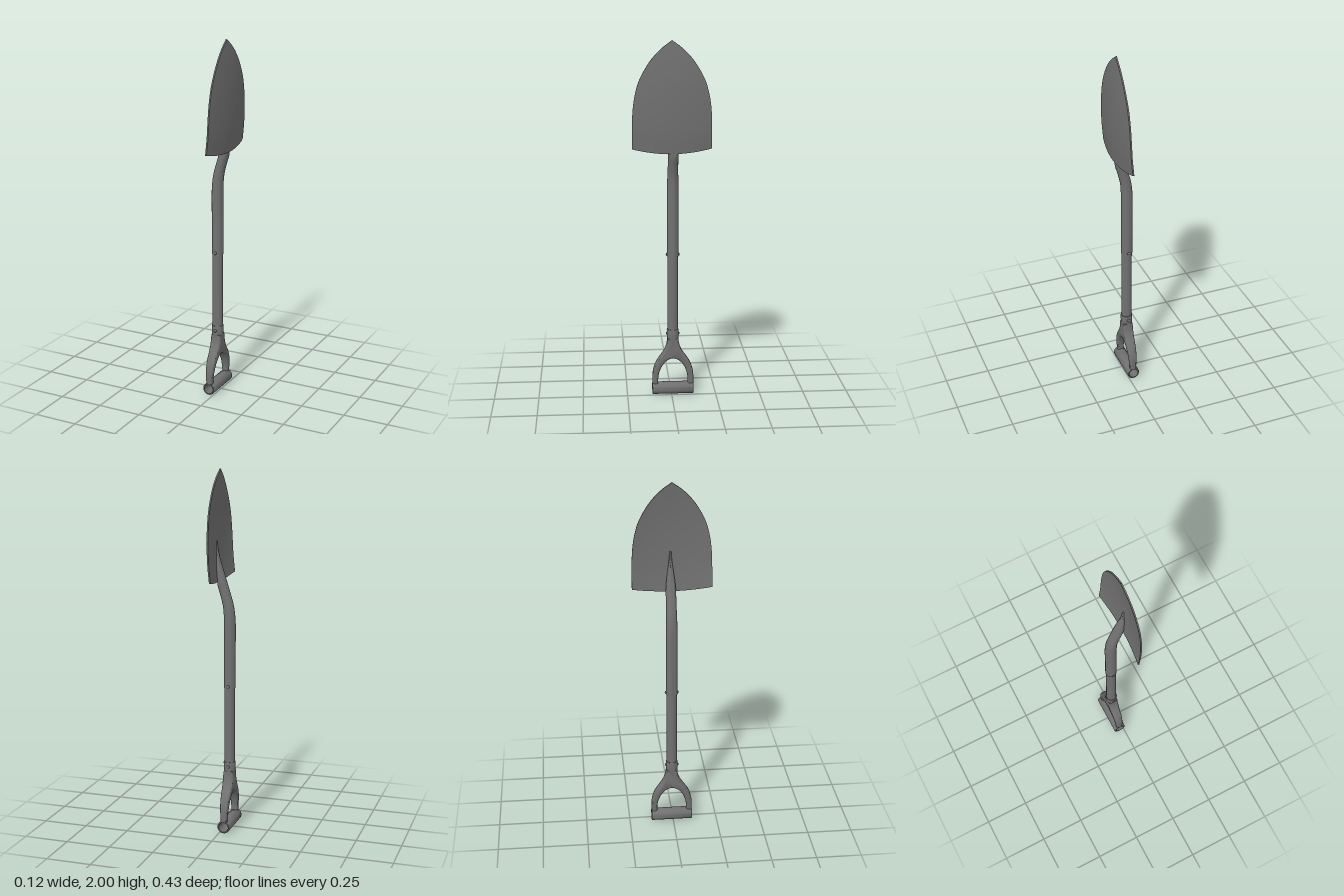
import * as THREE from 'three';
import { toCreasedNormals } from 'three/addons/utils/BufferGeometryUtils.js';

const AX = -0.025, AZ = -0.007; // axis of the shaft

export function createModel() {
  const group = new THREE.Group();
  const material = new THREE.MeshStandardMaterial({ color: 0x717171 });
  const add = (name, geometry, x = 0, y = 0, z = 0) => {
    const mesh = new THREE.Mesh(geometry, material);
    mesh.name = name;
    mesh.position.set(x, y, z);
    group.add(mesh);
    return mesh;
  };
  const lathe = (points) => toCreasedNormals(
    new THREE.LatheGeometry(points.map(([r, y]) => new THREE.Vector2(r, y)), 28), 0.7);

  add('blade', bladeGeometry());
  add('socket', socketGeometry());
  add('socketEnd', new THREE.CircleGeometry(0.032, 28).rotateX(Math.PI / 2), AX, 0.81, AZ);

  // Shaft and the collar where the grip meets it
  add('shaft', new THREE.CylinderGeometry(0.029, 0.029, 0.52, 28), AX, 0.59, AZ);
  add('gripCollar', lathe([
    [0, 0.23], [0.018, 0.24], [0.026, 0.27], [0.03, 0.3], [0.0325, 0.34],
    [0.0335, 0.38], [0.032, 0.386], [0, 0.386],
  ]), AX, 0, AZ);

  // Rivets through the socket and the collar
  for (const y of [0.36, 0.82]) {
    for (const side of [1, -1]) {
      const rivet = add('rivet', new THREE.SphereGeometry(0.009, 14, 10), AX, y, AZ + side * 0.032);
      rivet.scale.z = 0.75;
    }
  }

  add('gripFork', forkGeometry(), AX, 0, -0.008);

  // Hollow crossbar
  add('gripBar', lathe([
    [0.027, -0.116], [0.033, -0.116], [0.035, -0.113], [0.035, 0.113], [0.033, 0.116],
    [0.027, 0.116], [0.027, -0.116],
  ]).rotateX(Math.PI / 2), AX, 0.035, -0.008);
  return group;
}

// Dished sheet: each row is a closed loop, out along the convex face and back along the hollow one
function bladeGeometry() {
  const profile = new THREE.CatmullRomCurve3([ // face x, height, half width
    [0.045, 1.395, 0.216], [0.054, 1.5, 0.215], [0.0575, 1.6, 0.212], [0.0575, 1.69, 0.202],
    [0.055, 1.777, 0.18], [0.051, 1.84, 0.15], [0.046, 1.9, 0.111], [0.04, 1.955, 0.06],
    [0.035, 2, 0.0005],
  ].map((p) => new THREE.Vector3(...p)), false, 'centripetal');
  const rows = 40, cols = 24, thick = 0.008, n = 2 * (cols + 1);
  const position = [], index = [];
  for (let r = 0; r <= rows; r++) {
    const v = r / rows, p = profile.getPoint(v);
    for (let k = 0; k < n; k++) {
      const outer = k <= cols;
      const u = (outer ? k : n - 1 - k) / cols * 2 - 1;
      const z = u * p.z;
      position.push(p.x - 0.46 * z * z - (outer ? 0 : thick), p.y + 0.025 * u * u * (1 - v) ** 3, z);
    }
  }
  for (let r = 0; r < rows; r++) {
    for (let k = 0; k < n; k++) {
      const a = r * n + k, b = r * n + (k + 1) % n;
      index.push(a, a + n, b + n, a, b + n, b);
    }
  }
  // Bottom edge and tip
  const top = rows * n;
  for (let i = 0; i < cols; i++) {
    const a = i, b = i + 1, c = n - 2 - i, d = n - 1 - i;
    index.push(a, b, c, a, c, d);
    index.push(top + a, top + c, top + b, top + a, top + d, top + c);
  }
  const geometry = new THREE.BufferGeometry();
  geometry.setAttribute('position', new THREE.Float32BufferAttribute(position, 3));
  geometry.setIndex(index);
  return toCreasedNormals(geometry, 0.6);
}

// Bent tube that narrows to a point on the hollow face of the blade
function socketGeometry() {
  const path = new THREE.CatmullRomCurve3([
    [AX, 0.81], [AX, 1], [AX, 1.18], [-0.018, 1.26], [0, 1.33], [0.021, 1.4],
    [0.036, 1.47], [0.046, 1.55], [0.049, 1.62],
  ].map(([x, y]) => new THREE.Vector3(x, y, AZ)), false, 'centripetal');
  const segments = 64, sides = 24;
  const geometry = new THREE.TubeGeometry(path, segments, 0.032, sides);
  const pos = geometry.attributes.position, p = new THREE.Vector3();
  const { smoothstep, clamp } = THREE.MathUtils;
  for (let i = 0; i <= segments; i++) {
    const c = path.getPointAt(i / segments);
    const slim = 1 - 0.12 * smoothstep(c.y, 1.15, 1.35);
    const scale = slim * (1 - 0.85 * smoothstep(c.y, 1.38, 1.64));
    for (let j = 0; j <= sides; j++) {
      const k = i * (sides + 1) + j;
      p.fromBufferAttribute(pos, k).sub(c).multiplyScalar(scale).add(c);
      // Flattened against the sheet so it never breaks through the convex face
      const sheet = 0.04 + 0.009 * clamp((p.y - 1.395) / 0.105, 0, 1);
      pos.setXYZ(k, Math.min(p.x, sheet), p.y, p.z);
    }
  }
  geometry.computeVertexNormals();
  return toCreasedNormals(geometry, 0.8);
}

// Forked arms: rounded extrusion that thins toward the crossbar and ends inside its wall
function forkGeometry() {
  const shape = new THREE.Shape();
  shape.moveTo(-0.116, 0.055);
  shape.lineTo(-0.116, 0.1);
  shape.bezierCurveTo(-0.114, 0.23, -0.034, 0.22, -0.031, 0.335);
  shape.lineTo(0.031, 0.335);
  shape.bezierCurveTo(0.034, 0.22, 0.114, 0.23, 0.116, 0.1);
  shape.lineTo(0.116, 0.055);
  shape.lineTo(0.084, 0.055);
  shape.lineTo(0.084, 0.085);
  shape.bezierCurveTo(0.083, 0.15, 0.045, 0.214, 0, 0.214);
  shape.bezierCurveTo(-0.045, 0.214, -0.083, 0.15, -0.084, 0.085);
  shape.lineTo(-0.084, 0.055);
  shape.closePath();
  const bevel = 0.011, depth = 0.028;
  const geometry = new THREE.ExtrudeGeometry(shape, {
    depth, bevelThickness: 0.016, bevelSize: bevel, bevelOffset: -bevel,
    bevelSegments: 5, curveSegments: 16,
  });
  geometry.translate(0, 0, -depth / 2).rotateY(-Math.PI / 2);
  const pos = geometry.attributes.position;
  for (let i = 0; i < pos.count; i++) {
    const y = pos.getY(i);
    const t = THREE.MathUtils.clamp((y - 0.06) / 0.2, 0, 1);
    const x = pos.getX(i) * (0.58 + 0.42 * t);
    pos.setX(i, x);
    if (y < 0.07) pos.setY(i, 0.035 + Math.sqrt(0.031 ** 2 - x * x));
  }
  return toCreasedNormals(geometry, 0.7);
}
